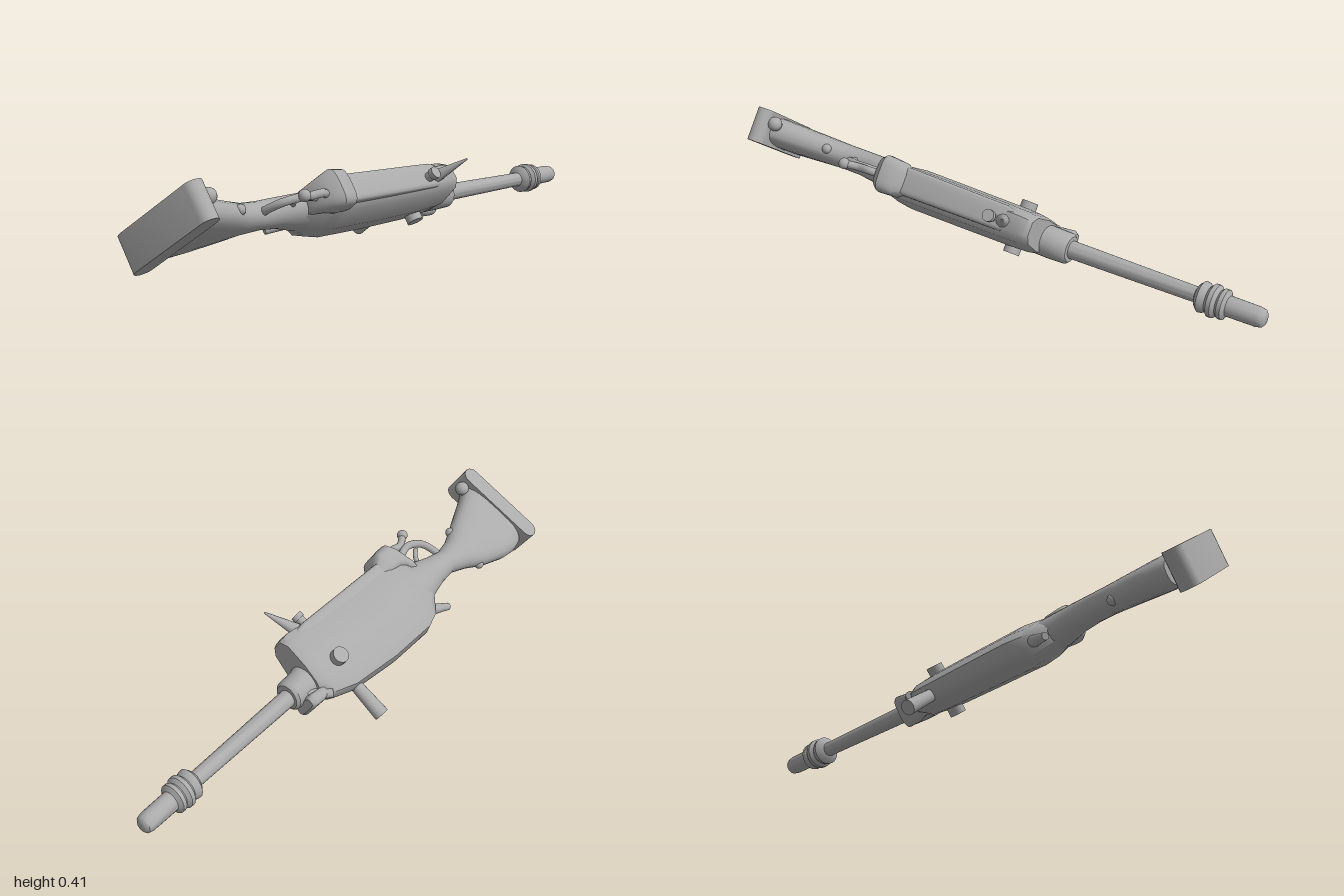
import * as THREE from 'three';
import { toCreasedNormals } from 'three/addons/utils/BufferGeometryUtils.js';

const steel = new THREE.MeshStandardMaterial({ color: 0xaaaaaa });
steel.name = 'grey steel';
const V = (x, y, z) => new THREE.Vector3(x, y, z);

// Closed skin through rings of equal point count, capped at both ends
function loft(rings, crease = 0.7) {
  const n = rings[0].length, pos = [], idx = [];
  for (const r of rings) for (const p of r) pos.push(p.x, p.y, p.z);
  for (let i = 0; i < rings.length - 1; i++) for (let j = 0; j < n; j++) {
    const a = i * n + j, b = i * n + (j + 1) % n;
    idx.push(a, b, b + n, a, b + n, a + n);
  }
  [0, rings.length - 1].forEach((k) => {
    const c = V(0, 0, 0);
    rings[k].forEach((p) => c.addScaledVector(p, 1 / n));
    const ci = pos.length / 3;
    pos.push(c.x, c.y, c.z);
    for (let j = 0; j < n; j++) {
      const a = k * n + j, b = k * n + (j + 1) % n;
      if (k) idx.push(a, b, ci); else idx.push(b, a, ci);
    }
  });
  // keep the faces turned outward whichever way the rings run
  const P = (i) => V(pos[3 * i], pos[3 * i + 1], pos[3 * i + 2]);
  let volume = 0;
  for (let i = 0; i < idx.length; i += 3) volume += P(idx[i]).dot(P(idx[i + 1]).cross(P(idx[i + 2])));
  if (volume < 0) idx.reverse();
  const g = new THREE.BufferGeometry();
  g.setAttribute('position', new THREE.Float32BufferAttribute(pos, 3));
  g.setIndex(idx);
  return toCreasedNormals(g, crease);
}

// Rounded ring across the length: centre x, y, half sizes a, b, squareness n
function oval(z, x, y, a, b = a, n = 2) {
  const pts = [];
  for (let i = 0; i < 24; i++) {
    const t = i / 24 * Math.PI * 2, c = Math.cos(t), s = Math.sin(t);
    pts.push(V(x + a * Math.sign(c) * Math.abs(c) ** (2 / n), y + b * Math.sign(s) * Math.abs(s) ** (2 / n), z));
  }
  return pts;
}

export function createModel() {
  const root = new THREE.Group();
  root.name = 'rifle';
  const gun = new THREE.Group();
  gun.name = 'rolledRifle';
  gun.rotation.z = 0.632; // the rifle lies rolled over on its side
  root.add(gun);

  const add = (name, geo) => {
    const m = new THREE.Mesh(geo, steel);
    m.name = name;
    gun.add(m);
    return m;
  };
  const rod = (name, p, q, r0, r1, sides = 20) => {
    const d = q.clone().sub(p);
    const m = add(name, new THREE.CylinderGeometry(r1, r0, d.length(), sides));
    m.position.copy(p).addScaledVector(d, 0.5);
    m.quaternion.setFromUnitVectors(V(0, 1, 0), d.normalize());
    return m;
  };
  const ball = (name, x, y, z, r) => add(name, new THREE.SphereGeometry(r, 16, 12)).position.set(x, y, z);
  const tube = (name, pts, r) => add(name, new THREE.TubeGeometry(new THREE.CatmullRomCurve3(pts), 28, r, 10));

  // Barrel with three ridges and a thicker muzzle
  const profile = [
    [-0.2, 0.032], [-0.4, 0.03], [-0.77, 0.026], [-0.776, 0.04], [-0.788, 0.052], [-0.8, 0.05],
    [-0.811, 0.043], [-0.822, 0.055], [-0.836, 0.055], [-0.847, 0.043], [-0.855, 0.05],
    [-0.868, 0.05], [-0.877, 0.034], [-0.975, 0.033], [-0.993, 0.029], [-1.0, 0.02],
  ];
  add('barrel', loft(profile.map(([z, r]) => oval(z, 0.101 + 0.065 * z, 0.126 + 0.013 * z, r))));

  // Collar where the barrel enters the body
  add('barrelCollar', loft([
    oval(-0.32, 0.084, 0.122, 0.044), oval(-0.31, 0.084, 0.122, 0.053),
    oval(-0.25, 0.088, 0.123, 0.055), oval(-0.2, 0.09, 0.125, 0.07, 0.055),
  ]));
  add('collarLug', loft([
    oval(-0.295, 0.022, 0.133, 0.016, 0.045, 4), oval(-0.28, 0.022, 0.13, 0.024, 0.058, 4),
    oval(-0.235, 0.022, 0.13, 0.022, 0.055, 4), oval(-0.18, 0.03, 0.135, 0.015, 0.04, 4),
  ]));
  rod('collarPin', V(0.05, 0.145, -0.265), V(0.002, 0.174, -0.2), 0.02, 0.016);

  // Receiver: faceted section, swept, scaled and narrowed toward both ends
  const section = [
    [-0.034, 0.188], [-0.046, 0.15], [-0.036, 0.114], [0.03, 0.078], [0.12, 0.066],
    [0.22, 0.084], [0.25, 0.115], [0.248, 0.175], [0.21, 0.201], [0.1, 0.211], [0.01, 0.205],
  ];
  const receiver = [
    [-0.23, 0.134, 0.74, 0.78], [-0.215, 0.13, 0.82, 0.88], [-0.19, 0.124, 0.9, 0.93],
    [-0.1, 0.11, 0.96, 0.97], [0.1, 0.108, 1, 1], [0.3, 0.118, 1, 1.02],
    [0.36, 0.126, 0.9, 0.92], [0.43, 0.128, 0.45, 0.6],
  ].map(([z, cu, su, sv]) => section.map(([u, v]) =>
    V(cu + (u - 0.105) * su, 0.138 + (v - 0.138) * sv + 0.03 * z, z)));
  add('receiver', loft(receiver, 0.85));

  // Raised rail and the swelling at its rear
  add('underRail', loft([
    oval(-0.17, 0.222, 0.142, 0.018, 0.035, 5), oval(-0.12, 0.226, 0.144, 0.026, 0.045, 5),
    oval(0.28, 0.242, 0.156, 0.03, 0.05, 5), oval(0.33, 0.242, 0.156, 0.03, 0.05, 5),
  ]));
  add('rearHousing', loft([
    oval(0.26, 0.235, 0.155, 0.02, 0.04, 3), oval(0.305, 0.255, 0.155, 0.048, 0.063, 3.5),
    oval(0.36, 0.26, 0.157, 0.052, 0.067, 3.5), oval(0.39, 0.245, 0.158, 0.045, 0.056, 3),
    oval(0.425, 0.19, 0.163, 0.035, 0.04, 2.5),
  ]));

  // Cross pin, side peg and rear lug
  rod('crossPin', V(0.085, 0.043, -0.11), V(0.085, 0.23, -0.115), 0.029, 0.029);
  rod('sidePeg', V(0.0, 0.145, -0.085), V(-0.158, 0.145, -0.075), 0.021, 0.027);
  rod('rearLug', V(0.03, 0.165, 0.36), V(-0.006, 0.165, 0.455), 0.022, 0.013);

  // Spike and short post near the front of the rail
  rod('spike', V(0.215, 0.135, -0.11), V(0.358, 0.134, -0.187), 0.029, 0.003, 10);
  rod('frontPost', V(0.2, 0.135, -0.08), V(0.285, 0.135, -0.09), 0.018, 0.016);
  rod('frontPostHead', V(0.272, 0.135, -0.089), V(0.29, 0.135, -0.091), 0.021, 0.021);

  // Stock: slim wrist flaring to the butt
  add('stock', loft([
    oval(0.34, 0.125, 0.152, 0.085, 0.06, 2.4), oval(0.43, 0.13, 0.16, 0.075, 0.056),
    oval(0.5, 0.132, 0.17, 0.055, 0.049), oval(0.57, 0.131, 0.175, 0.045, 0.046),
    oval(0.64, 0.129, 0.177, 0.063, 0.046, 2.1), oval(0.72, 0.134, 0.178, 0.099, 0.049, 2.4),
    oval(0.82, 0.148, 0.179, 0.135, 0.053, 2.8), oval(0.88, 0.163, 0.179, 0.153, 0.055, 3),
    oval(0.925, 0.178, 0.179, 0.155, 0.055, 3),
  ]));

  // Butt plate: capsule outline drawn through its thickness
  const A = V(0.042, 0, 0.966), B = V(0.332, 0, 0.906), R = 0.033;
  const lean = Math.atan2(B.z - A.z, B.x - A.x);
  const capsule = (y, r) => Array.from({ length: 20 }, (_, i) => {
    const end = i < 10 ? B : A, k = i % 10;
    const t = lean + (i < 10 ? -Math.PI / 2 : Math.PI / 2) + k / 9 * Math.PI;
    return V(end.x + r * Math.cos(t), y, end.z + r * Math.sin(t));
  });
  add('buttPlate', loft([capsule(0.115, R), capsule(0.241, R)]));

  // Knobs on the stock
  ball('buttKnob', 0.32, 0.2, 0.86, 0.026);
  ball('wristKnob', 0.21, 0.178, 0.685, 0.018);
  ball('lowerKnob', 0.05, 0.177, 0.7, 0.018);

  // Trigger guard, spur and trigger
  tube('triggerGuard', [V(0.22, 0.155, 0.37), V(0.245, 0.158, 0.43), V(0.262, 0.158, 0.49),
    V(0.24, 0.162, 0.545), V(0.19, 0.168, 0.57), V(0.13, 0.173, 0.575)], 0.014);
  tube('guardSpur', [V(0.25, 0.15, 0.37), V(0.282, 0.15, 0.42), V(0.28, 0.15, 0.47), V(0.308, 0.145, 0.515)], 0.014);
  ball('spurTip', 0.308, 0.145, 0.515, 0.02);
  tube('trigger', [V(0.15, 0.168, 0.47), V(0.19, 0.165, 0.47), V(0.22, 0.162, 0.49), V(0.235, 0.16, 0.51)], 0.009);

  return root;
}
